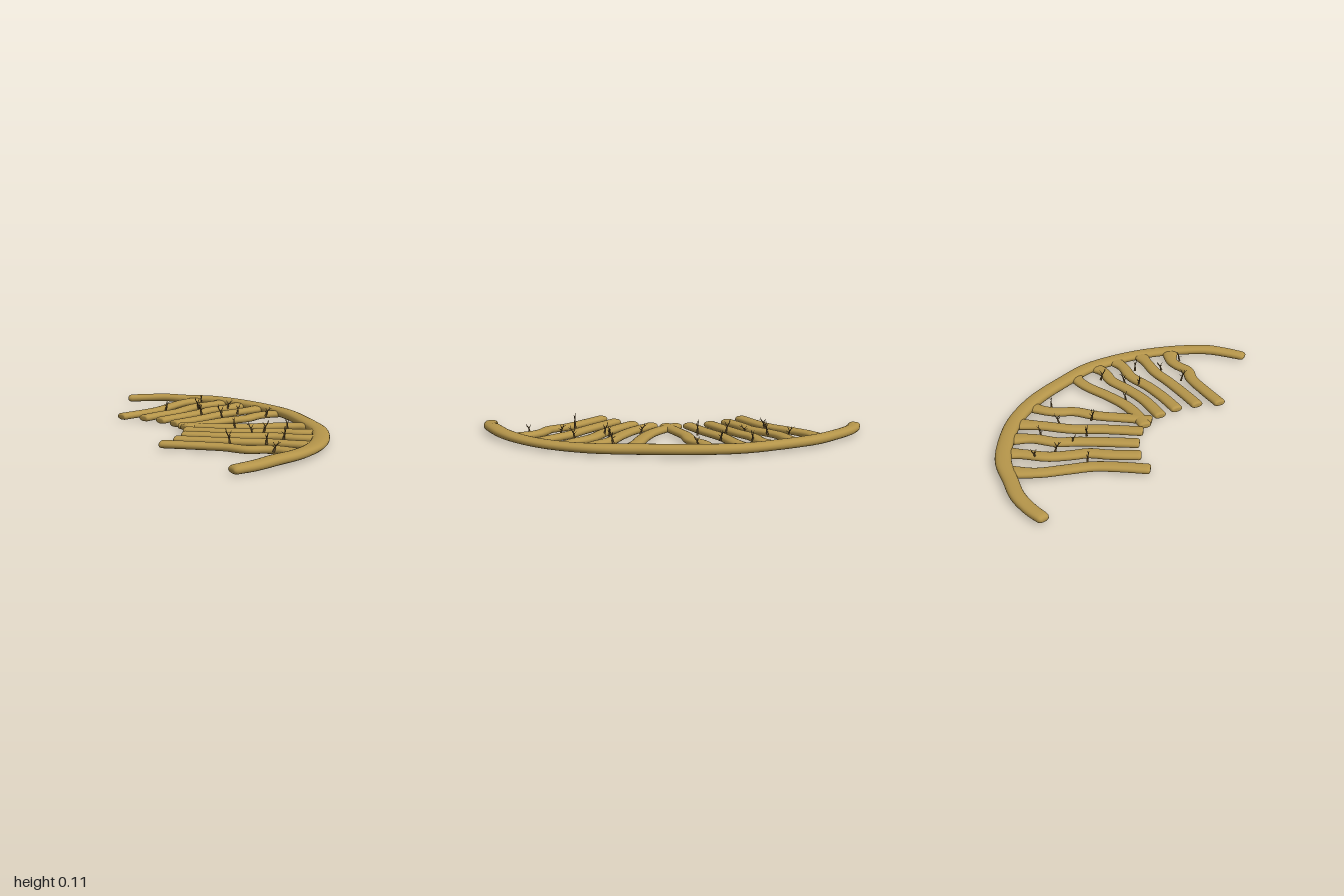
import * as THREE from 'three';

const wood = new THREE.MeshStandardMaterial({ color: 0xb5954a });
const bark = new THREE.MeshStandardMaterial({ color: 0x6b5430 });

// Sweep a flattened round section along points [x, y, z, halfWidth, halfHeight], with rounded-off ends.
function branch(name, pts, segments, round) {
  const curve = new THREE.CatmullRomCurve3(pts.map(p => new THREE.Vector3(p[0], p[1], p[2])), false, 'centripetal');
  const sides = 20, pos = [], idx = [];
  const length = curve.getLength();
  const stations = [];
  const cap = [0, 0.05, 0.2, 0.5, 1];
  cap.forEach(c => stations.push(c * round / length));
  for (let i = 1; i < segments; i++) {
    const u = i / segments;
    if (u * length > round * 1.1 && (1 - u) * length > round * 1.1) stations.push(u);
  }
  [...cap].reverse().forEach(c => stations.push(1 - c * round / length));
  for (const u of stations) {
    const t = curve.getUtoTmapping(u);
    const c = curve.getPoint(t), d = curve.getTangent(t);
    const side = new THREE.Vector3(d.z, 0, -d.x).normalize();
    const k = t * (pts.length - 1), i = Math.min(Math.floor(k), pts.length - 2), f = k - i;
    const s = f * f * (3 - 2 * f);
    const e = Math.min(1, Math.min(u, 1 - u) * length / round);
    const inset = round * 0.75 * (1 - Math.sqrt(Math.max(0, 1 - (1 - e) ** 2)));
    const w = THREE.MathUtils.lerp(pts[i][3], pts[i + 1][3], s) - inset;
    const h = THREE.MathUtils.lerp(pts[i][4], pts[i + 1][4], s) - inset;
    for (let j = 0; j < sides; j++) {
      const a = j / sides * Math.PI * 2, ca = Math.cos(a), sa = Math.sin(a);
      const x = Math.sign(ca) * Math.abs(ca) ** 0.85 * w, y = Math.sign(sa) * Math.abs(sa) ** 0.85 * h;
      pos.push(c.x + side.x * x, c.y + y, c.z + side.z * x);
    }
  }
  const n = stations.length;
  for (let i = 0; i < n - 1; i++) for (let j = 0; j < sides; j++) {
    const a = i * sides + j, b = i * sides + (j + 1) % sides;
    idx.push(a, b, a + sides, b, b + sides, a + sides);
  }
  // end discs
  const first = curve.getPoint(0), last = curve.getPoint(1), m = n * sides;
  pos.push(first.x, first.y, first.z, last.x, last.y, last.z);
  for (let j = 0; j < sides; j++) {
    const k = (j + 1) % sides;
    idx.push(m, k, j, m + 1, (n - 1) * sides + j, (n - 1) * sides + k);
  }
  const g = new THREE.BufferGeometry();
  g.setAttribute('position', new THREE.Float32BufferAttribute(pos, 3));
  g.setIndex(idx);
  g.computeVertexNormals();
  const mesh = new THREE.Mesh(g, wood);
  mesh.name = name;
  return mesh;
}

// Tapered stick between two points
function stick(a, b, r0, r1) {
  const d = b.clone().sub(a);
  const mesh = new THREE.Mesh(new THREE.CylinderGeometry(r1, r0, d.length(), 6), bark);
  mesh.position.copy(a).addScaledVector(d, 0.5);
  mesh.quaternion.setFromUnitVectors(new THREE.Vector3(0, 1, 0), d.normalize());
  return mesh;
}

// Small forked twig; h is its height, turn its heading
function twig(x, z, h, turn) {
  const g = new THREE.Group();
  g.name = 'twig';
  const V = (a, b, c) => new THREE.Vector3(a, b, c);
  const root = V(-0.008, -0.012, 0), fork = V(0.003, h * 0.4, 0), knee = V(0.014, h * 0.68, 0.004);
  g.add(stick(root, fork, 0.007, 0.0035));
  g.add(stick(fork, knee, 0.0035, 0.0025));
  g.add(stick(knee, V(0.017, h, 0.008), 0.0025, 0.0008));
  g.add(stick(knee, V(0.028, h * 0.85, -0.002), 0.002, 0.0008));
  g.add(stick(fork, V(-0.012, h * 0.85, -0.006), 0.003, 0.0008));
  g.add(stick(V(0, h * 0.25, 0), V(-0.016, h * 0.45, 0.008), 0.003, 0.0008));
  g.position.set(x, 0.045, z);
  g.rotation.y = turn;
  return g;
}

export function createModel() {
  const model = new THREE.Group();
  model.name = 'branchArc';

  // Long curved main branch
  model.add(branch('mainBranch', [
    [-0.975, 0.032, -0.36, 0.036, 0.023], [-0.89, 0.035, -0.45, 0.039, 0.023],
    [-0.79, 0.039, -0.525, 0.04, 0.024], [-0.66, 0.038, -0.58, 0.041, 0.025],
    [-0.48, 0.042, -0.65, 0.045, 0.026], [-0.26, 0.042, -0.67, 0.045, 0.026],
    [-0.02, 0.04, -0.652, 0.045, 0.026], [0.22, 0.042, -0.57, 0.046, 0.027],
    [0.46, 0.041, -0.43, 0.046, 0.027], [0.65, 0.039, -0.3, 0.047, 0.025],
    [0.79, 0.036, -0.13, 0.048, 0.023], [0.89, 0.037, 0.06, 0.046, 0.022],
    [0.945, 0.04, 0.27, 0.044, 0.024], [0.955, 0.044, 0.46, 0.043, 0.025],
    [0.938, 0.036, 0.58, 0.042, 0.024], [0.9, 0.029, 0.705, 0.04, 0.022],
  ], 120, 0.025));

  // Ribs as [x, z] centre lines, from the main branch inwards
  const ribs = [
    [[-0.565, -0.62], [-0.565, -0.46], [-0.525, -0.31], [-0.485, -0.17], [-0.48, -0.04], [-0.49, 0.14]],
    [[-0.38, -0.66], [-0.385, -0.56], [-0.402, -0.42], [-0.38, -0.3], [-0.352, -0.2], [-0.36, -0.09], [-0.355, 0.085]],
    [[-0.235, -0.66], [-0.22, -0.53], [-0.248, -0.39], [-0.235, -0.28], [-0.23, -0.14], [-0.23, 0.07]],
    [[-0.065, -0.65], [-0.075, -0.5], [-0.1, -0.32], [-0.092, -0.14], [-0.1, 0.085]],
    [[0.15, -0.61], [0.105, -0.52], [0.088, -0.43], [0.1, -0.33], [0.06, -0.19], [0.045, -0.03], [0.03, 0.13]],
    [[0.56, -0.385], [0.47, -0.335], [0.4, -0.27], [0.305, -0.15], [0.2, -0.04], [0.1, 0.03], [-0.04, 0.095]],
    [[0.69, -0.28], [0.61, -0.195], [0.5, -0.14], [0.4, -0.04], [0.27, 0.07], [0.08, 0.18]],
    [[0.78, -0.15], [0.69, -0.08], [0.56, -0.02], [0.44, 0.09], [0.31, 0.185], [0.16, 0.275]],
    [[0.86, 0.02], [0.76, 0.07], [0.63, 0.13], [0.51, 0.215], [0.37, 0.305], [0.22, 0.395]],
    [[0.92, 0.215], [0.79, 0.23], [0.73, 0.27], [0.67, 0.33], [0.55, 0.36], [0.41, 0.435], [0.25, 0.53]],
  ];
  ribs.forEach((line, i) => {
    const last = line.length - 1;
    model.add(branch('rib' + (i + 1), line.map(([x, z], k) =>
      [x, 0.034 - 0.003 * (k / last), z, k === 0 ? 0.05 : 0.036 + 0.002 * (k / last), 0.02]), 48, 0.016));
  });

  // Twigs as [x, z, height]
  [[-0.445, -0.2, 0.05], [-0.425, -0.49, 0.055], [-0.35, -0.38, 0.06], [-0.19, -0.49, 0.05],
    [-0.18, -0.23, 0.065], [-0.255, -0.3, 0.04], [-0.04, -0.41, 0.05], [0, -0.215, 0.075],
    [0.14, -0.47, 0.045], [0.26, -0.04, 0.05], [0.51, -0.2, 0.065], [0.465, -0.06, 0.06],
    [0.45, 0.035, 0.06], [0.65, 0, 0.065], [0.66, 0.16, 0.05], [0.525, 0.3, 0.075], [0.81, 0.275, 0.045],
  ].forEach(([x, z, h], i) => model.add(twig(x, z, h, i * 2.4)));

  return model;
}
